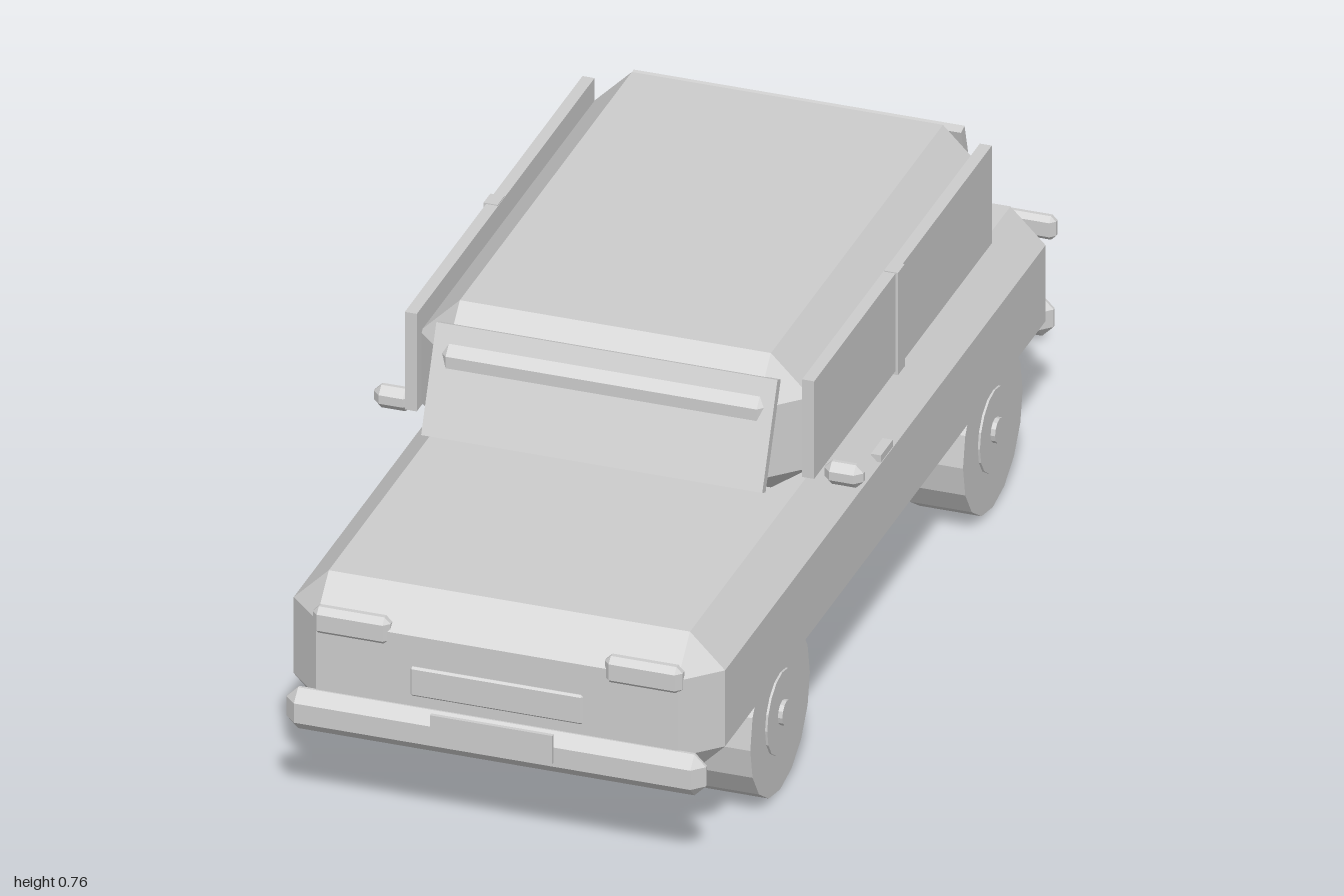
import * as THREE from 'three';
import { ConvexGeometry } from 'three/addons/geometries/ConvexGeometry.js';

const paint = new THREE.MeshStandardMaterial({ color: 0xcccccc });
paint.name = 'light grey';

// Box with flat 45 degree bevels; the lower edges may have a different bevel height.
function bevelBox(w, h, d, b, lower = b) {
  const points = [];
  for (const sx of [-1, 1]) for (const sy of [-1, 1]) for (const sz of [-1, 1]) {
    const x = w / 2, y = h / 2, z = d / 2, by = sy < 0 ? lower : b;
    for (const [px, py, pz] of [[x, y - by, z - b], [x - b, y, z - b], [x - b, y - by, z]]) {
      points.push(new THREE.Vector3(sx * px, sy * py, sz * pz));
    }
  }
  return new ConvexGeometry(points);
}

export function createModel() {
  const car = new THREE.Group();
  car.name = 'car';

  function add(name, geometry, x, y, z) {
    const mesh = new THREE.Mesh(geometry, paint);
    mesh.name = name;
    mesh.position.set(x, y, z);
    car.add(mesh);
    return mesh;
  }

  // Body and cabin
  add('body', bevelBox(0.86, 0.302, 1.925, 0.07), 0, 0.329, 0.005);
  add('cabin', bevelBox(0.78, 0.287, 1.118, 0.08, 0.057), 0, 0.6215, -0.172);

  // Sloping glass: lower and upper end of the centre line in (z, y)
  function slopedPane(name, width, z0, y0, z1, y1) {
    const length = Math.hypot(z1 - z0, y1 - y0);
    const pane = add(name, new THREE.BoxGeometry(width, length, 0.02), 0, (y0 + y1) / 2, (z0 + z1) / 2);
    pane.rotation.x = Math.atan2(z1 - z0, y1 - y0);
  }
  slopedPane('windshield', 0.68, 0.43, 0.535, 0.345, 0.733);
  slopedPane('rearWindow', 0.66, -0.764, 0.539, -0.706, 0.731);

  // Bumpers, number plates and grille
  add('frontBumper', bevelBox(0.836, 0.087, 0.052, 0.023), 0, 0.218, 0.968);
  add('rearBumper', bevelBox(0.836, 0.083, 0.052, 0.023), 0, 0.212, -0.969);
  add('frontPlate', new THREE.BoxGeometry(0.244, 0.06, 0.008), 0, 0.236, 0.996);
  add('rearPlate', new THREE.BoxGeometry(0.244, 0.055, 0.005), 0, 0.298, -0.9975);
  add('grille', bevelBox(0.344, 0.062, 0.02, 0.004), 0, 0.315, 0.963);

  for (const [label, s] of [['left', 1], ['right', -1]]) {
    // Side glass and pillar
    add(label + 'SideWindow', new THREE.BoxGeometry(0.024, 0.208, 0.99), s * 0.396, 0.635, -0.155);
    add(label + 'Pillar', new THREE.BoxGeometry(0.028, 0.218, 0.038), s * 0.399, 0.632, -0.132);

    // Lamps, mirror and door handle
    add(label + 'Headlight', bevelBox(0.155, 0.058, 0.034, 0.012), s * 0.291, 0.408, 0.958);
    add(label + 'RearLamp', bevelBox(0.165, 0.05, 0.028, 0.01), s * 0.345, 0.411, -0.957);
    add(label + 'Mirror', bevelBox(0.078, 0.048, 0.038, 0.015), s * 0.449, 0.522, 0.285);
    add(label + 'DoorHandle', new THREE.BoxGeometry(0.02, 0.015, 0.066), s * 0.422, 0.423, 0.002);

    // Wheels with a flat cap and a small hub
    for (const [end, z] of [['Front', 0.59], ['Rear', -0.595]]) {
      const wheel = new THREE.Group();
      wheel.name = label + end + 'Wheel';
      wheel.position.set(0, 0.166, z);
      for (const [name, radius, inner, outer, sides] of [
        ['tire', 0.166, 0.306, 0.4295, 16],
        ['wheelCap', 0.084, 0.42, 0.434, 16],
        ['hub', 0.025, 0.42, 0.443, 12],
      ]) {
        const geometry = new THREE.CylinderGeometry(radius, radius, outer - inner, sides).toNonIndexed();
        geometry.rotateZ(Math.PI / 2);
        geometry.computeVertexNormals();
        const mesh = new THREE.Mesh(geometry, paint);
        mesh.name = name;
        mesh.position.x = s * (inner + outer) / 2;
        wheel.add(mesh);
      }
      car.add(wheel);
    }
  }
  return car;
}
